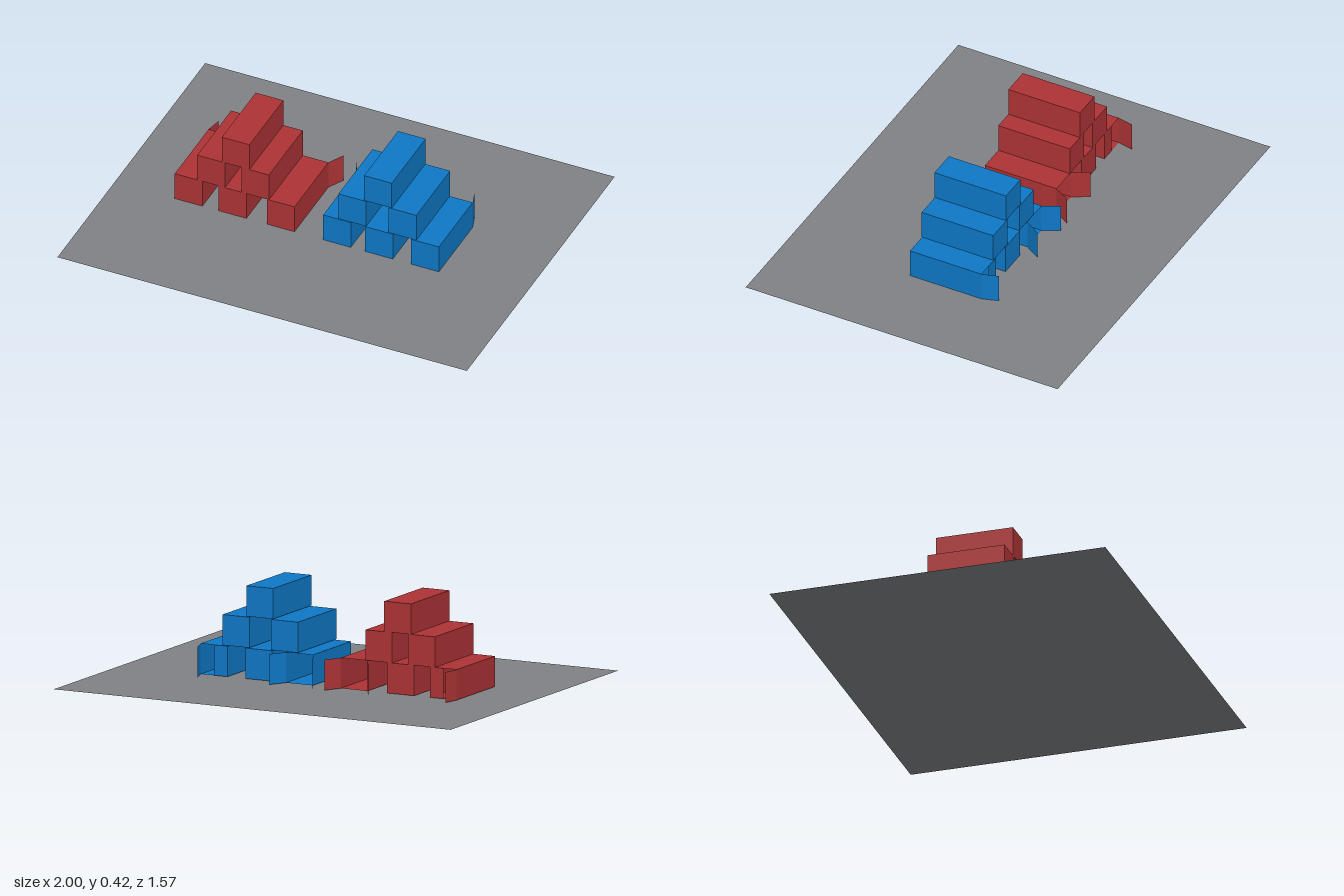
import * as THREE from 'three';

const W = 0.135, H = 0.138, D = 0.36, BACK = -0.18, TIP = -0.255;

export function createModel() {
  const model = new THREE.Group();
  const mat = (name, color) =>
    new THREE.MeshStandardMaterial({ name, color, side: THREE.DoubleSide });
  const grey = mat('ground grey', 0x808184);
  const red = mat('container red', 0xad3335);
  const blue = mat('container blue', 0x0e78c6);

  const add = (parent, name, geometry, material) => {
    const mesh = new THREE.Mesh(geometry, material);
    mesh.name = name;
    parent.add(mesh);
    return mesh;
  };

  // Flat yard the stacks stand on
  const ground = new THREE.PlaneGeometry(2, 1.57).rotateX(-Math.PI / 2);
  add(model, 'ground', ground, grey);

  // Upright door leaf between two points on plan
  const addDoor = (parent, name, x0, z0, x1, z1, y, material) => {
    const leaf = new THREE.PlaneGeometry(Math.hypot(x1 - x0, z1 - z0), H);
    leaf.rotateY(-Math.atan2(z1 - z0, x1 - x0));
    add(parent, name, leaf, material).position.set((x0 + x1) / 2, y, (z0 + z1) / 2);
  };

  // Container; doors lists the plan x of each leaf's free edge, or 'shut'
  const addContainer = (parent, left, bottom, material, doors) => {
    const unit = new THREE.Group();
    unit.name = 'container';
    parent.add(unit);
    const y = bottom + H / 2, x = left + W / 2;
    const shell = new THREE.BoxGeometry(W, H, D);
    if (doors) {
      // Leave the rear end open
      shell.setIndex(Array.from(shell.index.array.slice(0, 30)));
      shell.clearGroups();
    }
    add(unit, 'shell', shell, material).position.set(x, y, 0);
    (doors || []).forEach((tip, i) => {
      const hinge = left + i * W;
      const shut = tip === 'shut';
      addDoor(unit, i ? 'leftDoor' : 'rightDoor', hinge, BACK,
        shut ? x : tip, shut ? BACK : TIP, y, material);
    });
  };

  // Stacks: [left edge x, row, free door edges]
  const stacks = [
    ['redStack', red, 0.138, [
      [-0.705, 0, [-0.69, 'shut']], [-0.49, 0], [-0.255, 0, [-0.3, -0.08]],
      [-0.595, 1], [-0.38, 1], [-0.475, 2]]],
    ['blueStack', blue, 0.141, [
      [0.02, 0, [-0.02, 0.2]], [0.225, 0], [0.45, 0, ['shut', 0.56]],
      [0.095, 1], [0.34, 1], [0.22, 2]]],
  ];
  for (const [name, material, step, units] of stacks) {
    const stack = new THREE.Group();
    stack.name = name;
    model.add(stack);
    for (const [left, row, doors] of units)
      addContainer(stack, left, 0.004 + row * step, material, doors);
  }
  return model;
}
